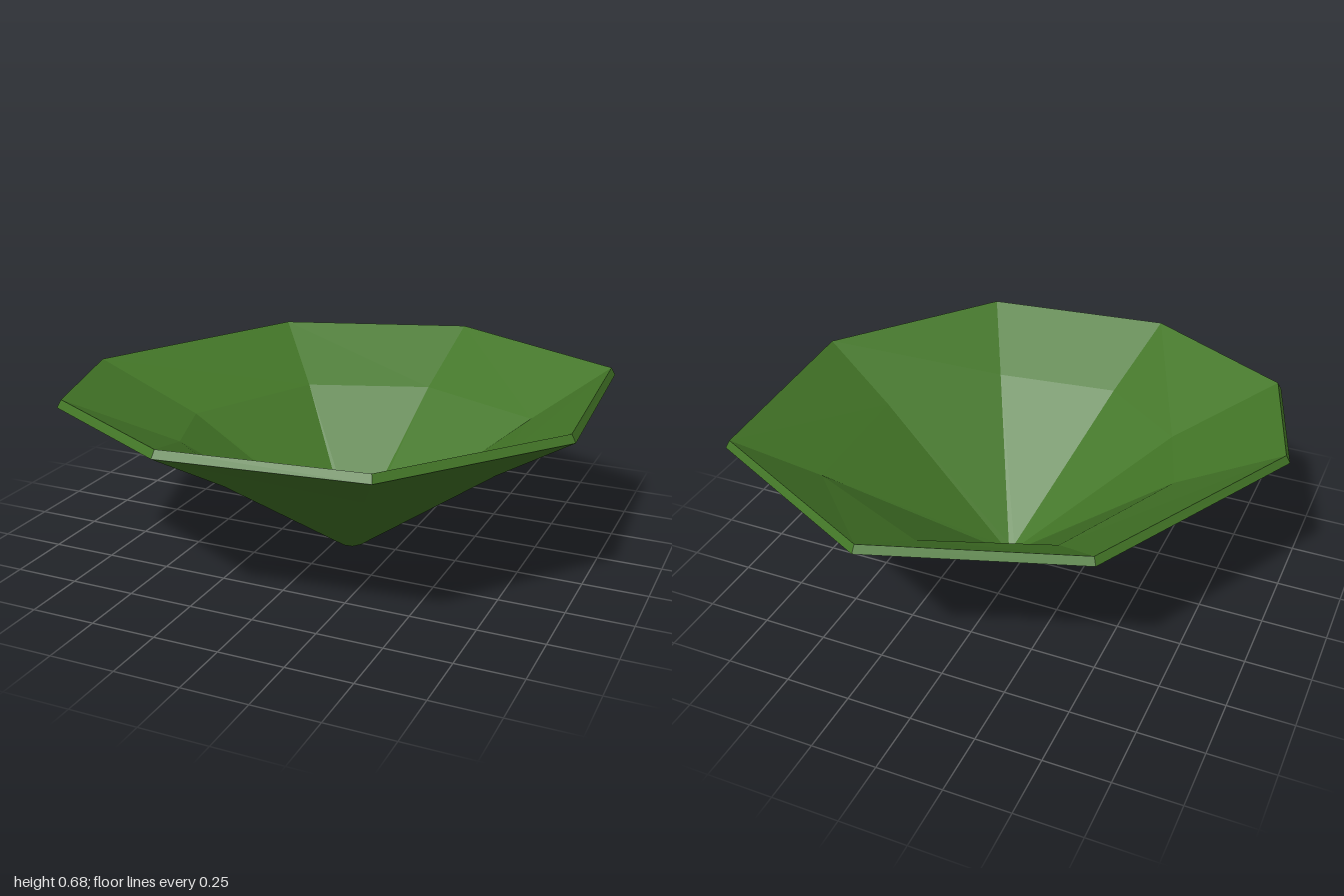
import * as THREE from 'three';

// Hub axis of the bowl
const CX = 0.062, CZ = 0;

// Eight corners, clockwise from the back: rim x, rim z, radius share of the inner fold
const corners = [
  [0.195, -0.97, 0.65], [0.945, -0.59, 0.685], [0.995, 0.25, 0.67], [0.505, 0.875, 0.665],
  [-0.243, 0.965, 0.67], [-0.84, 0.65, 0.605], [-1.0, 0.135, 0.615], [-0.565, -0.715, 0.635],
];

// A ring of eight points; radius(r, share) gives the distance from the hub axis
function ring(y, radius) {
  return corners.map(([x, z, share]) => {
    const dx = x - CX, dz = z - CZ, r = Math.hypot(dx, dz);
    const k = radius(r, share) / r;
    return new THREE.Vector3(CX + dx * k, y, CZ + dz * k);
  });
}

// Joins successive rings with flat facets
function loft(rings) {
  const pos = [];
  const tri = (a, b, c) => {
    if (a.equals(b) || b.equals(c) || a.equals(c)) return;
    for (const p of [a, b, c]) pos.push(p.x, p.y, p.z);
  };
  for (let k = 0; k + 1 < rings.length; k++) {
    const low = rings[k], up = rings[k + 1];
    for (let i = 0; i < low.length; i++) {
      const j = (i + 1) % low.length;
      tri(up[i], up[j], low[i]);
      tri(up[j], low[j], low[i]);
    }
  }
  const geo = new THREE.BufferGeometry();
  geo.setAttribute('position', new THREE.Float32BufferAttribute(pos, 3));
  geo.computeVertexNormals();
  return geo;
}

export function createModel() {
  const group = new THREE.Group();
  group.name = 'leafBowl';

  const leafGreen = new THREE.MeshStandardMaterial({ color: 0x437627 });
  leafGreen.name = 'leafGreen';
  leafGreen.flatShading = true;

  // Closed shell: up the outside, over the bevelled rim, down the inside
  const shell = new THREE.Mesh(loft([
    ring(0, () => 0),
    ring(0, () => 0.046),
    ring(0.45, (r, share) => r * share + 0.012),
    ring(0.645, (r) => r),
    ring(0.675, (r) => r - 0.017),
    ring(0.48, (r, share) => r * share - 0.004),
    ring(0.03, () => 0.031),
    ring(0.03, () => 0),
  ]), leafGreen);
  shell.name = 'bowlShell';
  group.add(shell);

  return group;
}
